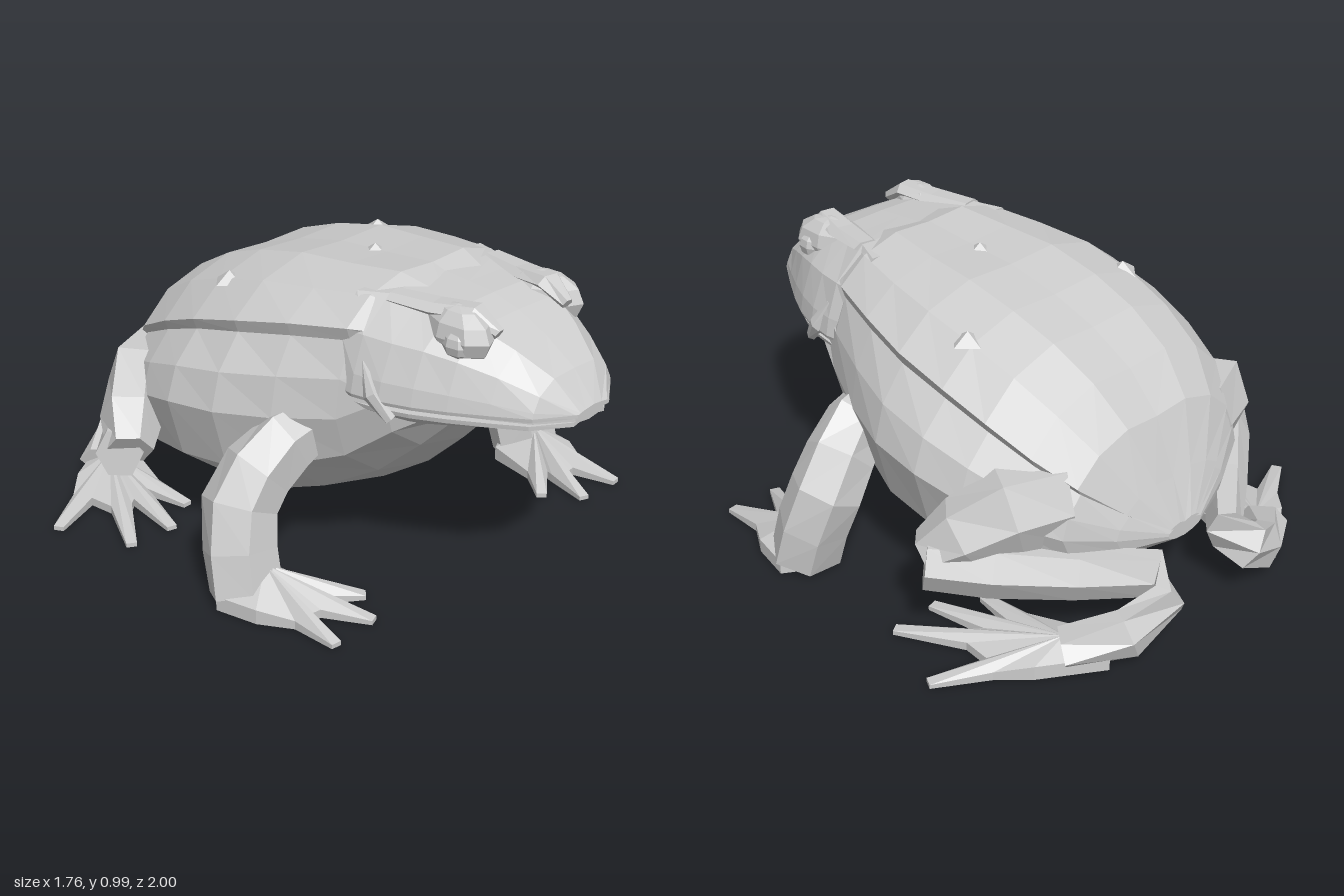
import * as THREE from 'three';

const skin = new THREE.MeshStandardMaterial({ color: 0xcccccc, flatShading: true, side: THREE.DoubleSide });
skin.name = 'grey skin';

const V = (x, y, z) => new THREE.Vector3(x, y, z);

function meshFrom(name, points, index) {
  const geo = new THREE.BufferGeometry().setFromPoints(points);
  geo.setIndex(index);
  geo.computeVertexNormals();
  const mesh = new THREE.Mesh(geo, skin);
  mesh.name = name;
  return mesh;
}

// Skin a list of closed rings and cap both ends
function loft(name, rings) {
  const n = rings[0].length, last = rings.length - 1;
  const pts = rings.flat(), idx = [];
  for (let i = 0; i < last; i++) {
    for (let j = 0; j < n; j++) {
      const k = (j + 1) % n, a = i * n + j, b = i * n + k;
      idx.push(a, b, b + n, a, b + n, a + n);
    }
  }
  for (const [r, first] of [[0, true], [last, false]]) {
    const c = pts.length;
    pts.push(rings[r].reduce((s, p) => s.add(p), V(0, 0, 0)).divideScalar(n));
    for (let j = 0; j < n; j++) {
      const a = r * n + j, b = r * n + (j + 1) % n;
      idx.push(c, first ? b : a, first ? a : b);
    }
  }
  return meshFrom(name, pts, idx);
}

// Half outline [x, y] from top centre to bottom centre, mirrored to a full ring
function mirrorRing(z, half) {
  const left = half.map(([x, y]) => V(x, y, z));
  const right = half.slice(1, -1).reverse().map(([x, y]) => V(-x, y, z));
  return left.concat(right);
}

// Limb through stations [x, y, z, radius across, radius along up]
function limb(name, path, up, sides = 6) {
  const pos = path.map(p => V(p[0], p[1], p[2]));
  return loft(name, path.map((p, i) => {
    const t = pos[Math.min(i + 1, pos.length - 1)].clone().sub(pos[Math.max(i - 1, 0)]).normalize();
    const s = t.clone().cross(up).normalize(), u = s.clone().cross(t);
    return Array.from({ length: sides }, (_, j) => {
      const a = (j + 0.5) / sides * Math.PI * 2;
      return pos[i].clone().addScaledVector(u, Math.cos(a) * p[4]).addScaledVector(s, Math.sin(a) * p[3]);
    });
  }));
}

// Webbed foot: raised centre, toes fanned from inside to outside, then the heel
function foot(name, [bx, by, bz], tips, heel) {
  const rim = [];
  for (const [x, z] of tips) {
    const dx = x - bx, dz = z - bz, l = Math.hypot(dx, dz);
    const px = dz / l, pz = -dx / l;
    for (const [k, w, y] of [[0.55, -0.036, 0.03], [1, -0.018, 0.015], [1, 0.018, 0.015], [0.55, 0.036, 0.03]]) {
      rim.push(V(bx + dx * k + px * w, y, bz + dz * k + pz * w));
    }
  }
  heel.forEach(([x, z]) => rim.push(V(x, 0.05, z)));
  const n = rim.length, idx = [];
  const pts = [...rim, ...rim.map(p => V(p.x, 0, p.z)), V(bx, by, bz), V(bx, 0, bz)];
  for (let i = 0; i < n; i++) {
    const k = (i + 1) % n;
    idx.push(2 * n, i, k, 2 * n + 1, n + k, n + i, i, n + i, n + k, i, n + k, k);
  }
  return meshFrom(name, pts, idx);
}

function ball(name, x, y, z, rx, ry, rz, turn) {
  const mesh = new THREE.Mesh(new THREE.SphereGeometry(1, 8, 6), skin);
  mesh.name = name;
  mesh.position.set(x, y, z);
  mesh.scale.set(rx, ry, rz);
  mesh.rotation.y = turn;
  return mesh;
}

function wart(x, y, z, r) {
  const mesh = new THREE.Mesh(new THREE.ConeGeometry(r, 0.04, 4), skin);
  mesh.name = 'wart';
  mesh.position.set(x, y, z);
  return mesh;
}

// Everything that exists once on each side
function makeSide(name) {
  const g = new THREE.Group();
  g.name = name;
  const Y = V(0, 1, 0), Z = V(0, 0, 1);
  g.add(
    limb('frontLeg', [
      [0.36, 0.52, 0.21, 0.08, 0.08], [0.50, 0.465, 0.18, 0.12, 0.10], [0.60, 0.39, 0.15, 0.12, 0.12],
      [0.675, 0.29, 0.14, 0.12, 0.13], [0.71, 0.16, 0.175, 0.125, 0.125], [0.72, 0.03, 0.21, 0.13, 0.12]], Z),
    foot('frontFoot', [0.69, 0.13, 0.27], [[0.46, 0.49], [0.55, 0.61], [0.73, 0.62]],
      [[0.81, 0.35], [0.84, 0.20], [0.71, 0.12], [0.58, 0.18]]),
    limb('thigh', [
      [0.34, 0.46, -0.62, 0.10, 0.15], [0.50, 0.45, -0.55, 0.11, 0.16], [0.61, 0.38, -0.46, 0.11, 0.13],
      [0.69, 0.31, -0.38, 0.08, 0.08]], Y),
    limb('shin', [
      [0.72, 0.30, -0.40, 0.08, 0.09], [0.57, 0.275, -0.54, 0.09, 0.10], [0.37, 0.24, -0.71, 0.075, 0.09],
      [0.17, 0.22, -0.87, 0.06, 0.085], [0.20, 0.185, -0.95, 0.055, 0.085], [0.34, 0.10, -0.91, 0.06, 0.09],
      [0.50, 0.06, -0.78, 0.09, 0.055]], Y),
    foot('hindFoot', [0.48, 0.09, -0.77], [[0.45, -0.38], [0.60, -0.29], [0.77, -0.30], [0.87, -0.57]],
      [[0.62, -0.78], [0.42, -0.91], [0.36, -0.77]]),
    ball('eyeSocket', 0.205, 0.885, 0.63, 0.085, 0.09, 0.15, 0.2),
    ball('eye', 0.255, 0.87, 0.67, 0.045, 0.05, 0.06, 0.2),
    limb('browRidge', [
      [0.17, 0.90, 0.76, 0.02, 0.02], [0.18, 0.95, 0.68, 0.05, 0.03], [0.21, 0.945, 0.55, 0.06, 0.025],
      [0.24, 0.95, 0.40, 0.05, 0.02]], Y),
    limb('cheekFold', [
      [0.395, 0.62, 0.53, 0.02, 0.02], [0.42, 0.69, 0.47, 0.02, 0.03], [0.39, 0.78, 0.42, 0.015, 0.02]], Z),
    wart(0.36, 0.885, -0.22, 0.06));
  return g;
}

export function createModel() {
  const model = new THREE.Group();
  model.name = 'toad';

  // Trunk: z, top, ridge x, ridge y, side x, side y, belly
  const trunk = [
    [0.62, 0.88, 0.22, 0.83, 0.29, 0.68, 0.56],
    [0.50, 0.94, 0.30, 0.86, 0.39, 0.67, 0.41],
    [0.35, 0.99, 0.40, 0.87, 0.45, 0.58, 0.27],
    [0.15, 0.975, 0.46, 0.85, 0.54, 0.55, 0.14],
    [-0.05, 0.965, 0.50, 0.815, 0.61, 0.53, 0.06],
    [-0.25, 0.925, 0.50, 0.765, 0.625, 0.51, 0.045],
    [-0.42, 0.87, 0.48, 0.705, 0.59, 0.47, 0.05],
    [-0.58, 0.785, 0.44, 0.63, 0.53, 0.43, 0.11],
    [-0.70, 0.66, 0.36, 0.54, 0.42, 0.38, 0.18],
    [-0.78, 0.47, 0.22, 0.42, 0.26, 0.34, 0.23],
    [-0.84, 0.33, 0.07, 0.32, 0.08, 0.30, 0.27]];
  model.add(loft('body', trunk.map(([z, t, rx, ry, sx, sy, b]) => mirrorRing(z, [
    [0, t - 0.008], [rx * 0.38, t], [rx * 0.74, t - (t - ry) * 0.33],
    [rx, ry], [rx - 0.015, ry - (ry - sy) * 0.15], [(rx + sx * 2) / 3, ry - (ry - sy) * 0.55], [sx, sy],
    [sx * 0.91, sy - (sy - b) * 0.45], [sx * 0.56, sy - (sy - b) * 0.81], [0, b]]))));

  // Head and jaw: z, crown, crown half width, lip half width, jaw bottom
  const skull = [
    [1.00, 0.69, 0.04, 0.08, 0.635], [0.92, 0.785, 0.10, 0.20, 0.625], [0.81, 0.86, 0.15, 0.27, 0.612],
    [0.70, 0.915, 0.19, 0.335, 0.60], [0.60, 0.945, 0.21, 0.385, 0.59], [0.50, 0.955, 0.23, 0.42, 0.585],
    [0.40, 0.965, 0.26, 0.435, 0.60], [0.30, 0.96, 0.30, 0.42, 0.62]];
  const lip = 0.668;
  model.add(loft('head', skull.map(([z, t, tx, w]) => mirrorRing(z, [
    [0, t], [tx, t - 0.004], [tx + (w - tx) * 0.68, lip + (t - lip) * 0.64],
    [w * 0.97, lip + (t - lip) * 0.25], [w, lip + 0.012], [w * 0.99, lip], [0, lip]]))));
  model.add(loft('lowerJaw', skull.slice(0, 7).map(([z, , , w, b]) => mirrorRing(z - 0.015, [
    [0, 0.672], [w * 0.88, 0.672], [w * 0.88, 0.65], [w * 0.98, 0.65],
    [w * 0.97, 0.635], [w * 0.82, b + 0.008], [0, b]]))));

  model.add(wart(0, 0.965, 0.1, 0.06));

  // Paired parts, mirrored
  const left = makeSide('leftSide'), right = makeSide('rightSide');
  right.scale.x = -1;
  model.add(left, right);
  return model;
}
